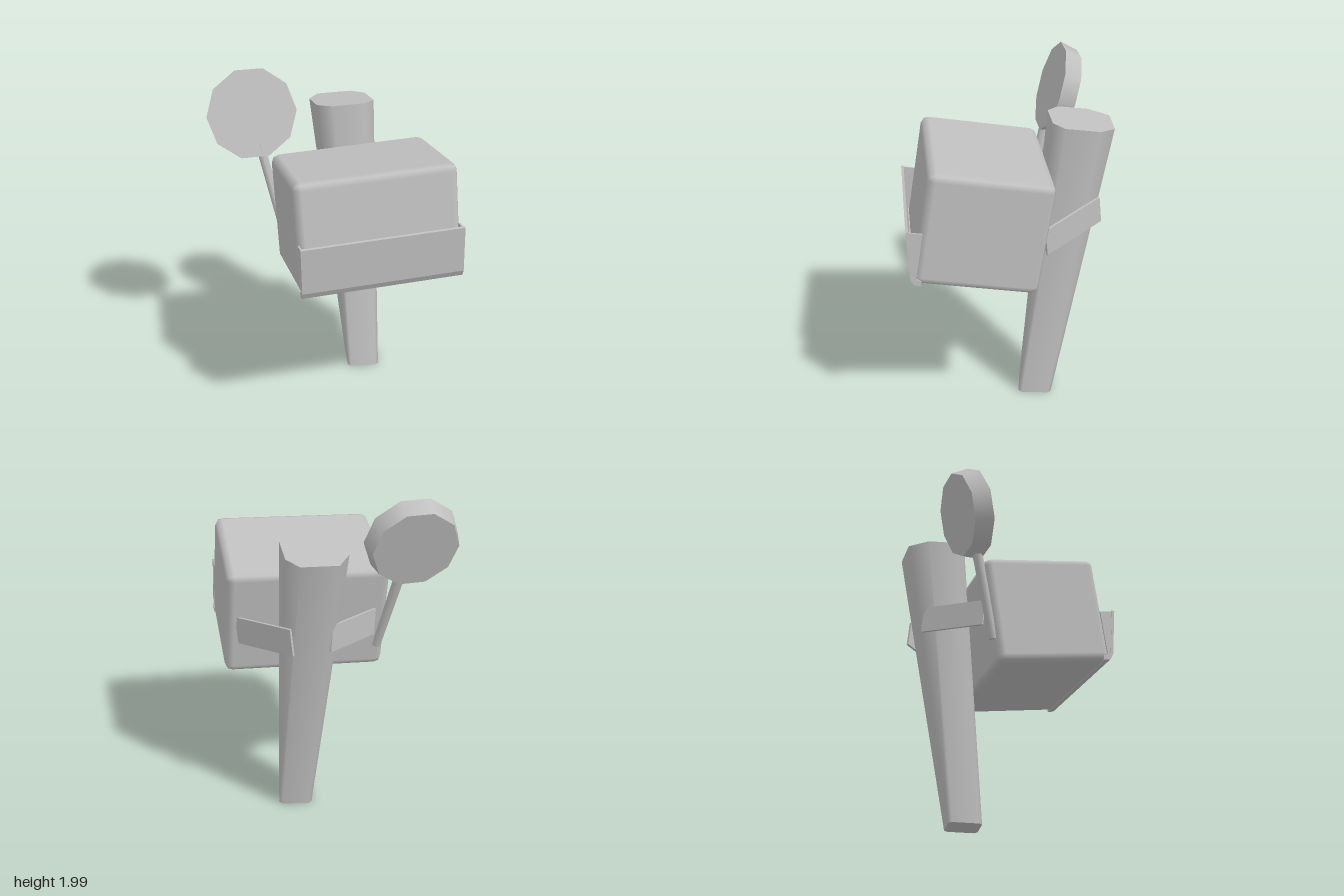
import * as THREE from 'three';
import { RoundedBoxGeometry } from 'three/addons/geometries/RoundedBoxGeometry.js';

const grey = new THREE.MeshStandardMaterial({ color: 0xc0c0c0 });
grey.name = 'plain grey';
const V = (x, y, z) => new THREE.Vector3(x, y, z);

function add(parent, name, geometry) {
  const mesh = new THREE.Mesh(geometry, grey);
  mesh.name = name;
  parent.add(mesh);
  return mesh;
}

// Lofts one ring to another: smooth sides, flat caps
function loft(low, high) {
  const n = low.length, pos = [], idx = [];
  const put = p => pos.push(p.x, p.y, p.z);
  [low, high, low, high].forEach(ring => ring.forEach(put));
  for (let i = 0; i < n; i++) {
    const j = (i + 1) % n;
    idx.push(j, i, n + i, j, n + i, n + j);
    if (i > 0 && j > 0) idx.push(2 * n, 2 * n + i, 2 * n + j, 3 * n, 3 * n + j, 3 * n + i);
  }
  const g = new THREE.BufferGeometry();
  g.setAttribute('position', new THREE.Float32BufferAttribute(pos, 3));
  g.setIndex(idx);
  g.computeVertexNormals();
  return g;
}

// Profile in (z, y), extruded across x and centred
function across(points, width) {
  const shape = new THREE.Shape(points.map(([z, y]) => new THREE.Vector2(-z, y)));
  const g = new THREE.ExtrudeGeometry(shape, { depth: width, bevelEnabled: false });
  return g.translate(0, 0, -width / 2).rotateY(Math.PI / 2);
}

export function createModel() {
  const model = new THREE.Group();
  model.name = 'mailbox';

  // Leaning post, wider and more chamfered at the top
  const foot = [[0.15, -0.3], [0.31, -0.3], [0.33, -0.28], [0.33, -0.12],
    [0.31, -0.1], [0.15, -0.1], [0.13, -0.12], [0.13, -0.28]].map(([x, z]) => V(x, 0, z));
  const head = [[-0.02, -0.61], [0.19, -0.63], [0.27, -0.55], [0.3, -0.35],
    [0.24, -0.28], [0.04, -0.25], [-0.05, -0.31], [-0.08, -0.49]]
    .map(([x, z]) => V(x, 1.77 + 0.14 * (z + 0.28) + 0.03 * (x - 0.2), z));
  add(model, 'post', loft(foot, head));

  // Tilted box with its drop-front flap
  const body = new THREE.Group();
  body.name = 'body';
  body.position.set(0.19, 1.25, 0.15);
  body.rotation.set(-0.16, 0.13, 0.035, 'YXZ');
  model.add(body);
  add(body, 'box', new RoundedBoxGeometry(0.95, 0.67, 0.71, 1, 0.045));
  add(body, 'flap', across([[0.31, -0.338], [0.35, -0.335], [0.375, -0.3], [0.435, -0.02],
    [0.42, -0.015], [0.36, -0.29], [0.31, -0.31]], 0.95));
  for (const s of [-1, 1]) {
    const cheek = add(body, 'flapSide', across([[0.34, -0.3], [0.37, -0.3], [0.425, -0.02], [0.34, -0.02]], 0.01));
    cheek.position.x = s * 0.468;
  }

  // Flat brackets between post and box
  for (const [a, b] of [
    [V(0.24, 1.24, -0.56), V(0.55, 1.18, -0.25)],
    [V(0.02, 1.23, -0.5), V(-0.25, 1.18, -0.17)],
  ]) {
    const bracket = add(model, 'bracket', new THREE.BoxGeometry(0.014, 0.16, a.distanceTo(b)));
    bracket.position.copy(a).lerp(b, 0.5);
    bracket.lookAt(b);
  }

  // Signal disc on a slim stick
  const disc = add(model, 'signalDisc',
    new THREE.CylinderGeometry(0.275, 0.25, 0.11, 10).rotateX(Math.PI / 2).rotateZ(0.3));
  disc.position.set(-0.45, 1.72, -0.32);
  disc.rotation.set(-0.29, 0.18, 0, 'YXZ');

  const from = V(-0.27, 1.0, -0.12), to = V(-0.4, 1.55, -0.25);
  const stick = add(model, 'signalStick', new THREE.CylinderGeometry(0.032, 0.026, from.distanceTo(to), 6));
  stick.position.copy(from).lerp(to, 0.5);
  stick.quaternion.setFromUnitVectors(V(0, 1, 0), to.clone().sub(from).normalize());

  return model;
}
